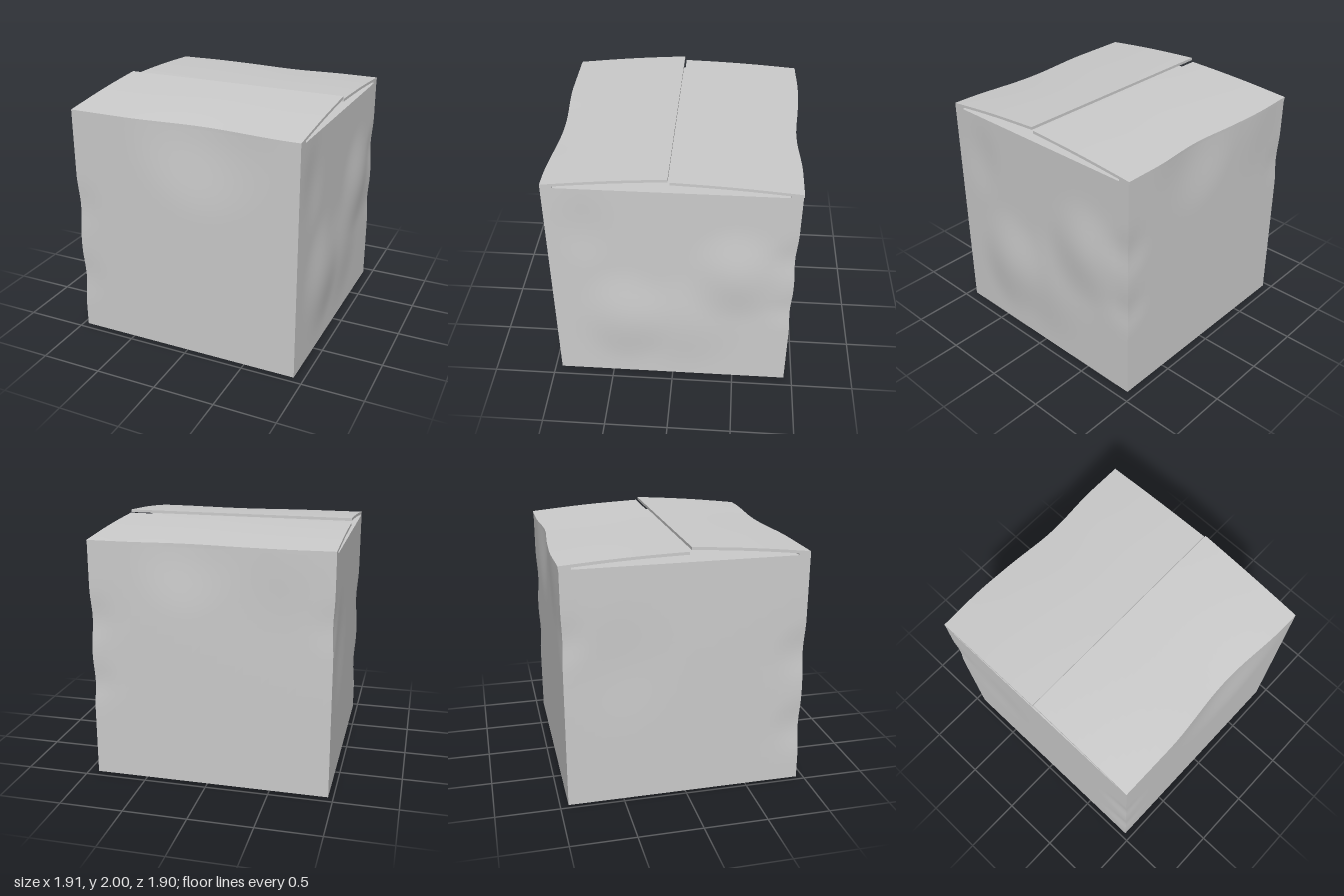
import * as THREE from 'three';

const X0 = -0.96, X1 = 0.92, ZF = 0.945, ZB = -0.935, LID = 1.885;
const mat = new THREE.MeshStandardMaterial({ color: 0xcccccc, side: THREE.DoubleSide });

// Soft dents and bulges: [centre x, y, z], [radius x, y, z], [push x, y, z]
const DENTS = [
  // bulges on the +x wall
  [[X1, 1.12, -0.48], [0.5, 0.5, 0.42], [0.034, 0, 0]],
  [[X1, 0.62, 0.38], [0.5, 0.55, 0.42], [0.033, 0, 0]],
  [[X1, 0.6, -0.1], [0.5, 0.55, 0.5], [0.018, 0, 0]],
  [[X1, 1.5, 0.66], [0.4, 0.4, 0.26], [-0.01, 0, 0]],
  // shallow dents in the -x wall
  [[X0, 1.1, -0.5], [0.5, 0.5, 0.4], [0.008, 0, 0]],
  // crushed corners
  [[X0, 1.1, ZF], [0.25, 0.28, 0.3], [0.015, 0, -0.008]],
  [[X0, 0.47, ZF], [0.25, 0.28, 0.3], [0.015, 0, -0.008]],
  [[X1, 1.3, ZB], [0.25, 0.25, 0.25], [-0.012, 0, 0.012]],
  [[X1, 0.78, ZB], [0.25, 0.22, 0.25], [-0.01, 0, 0.01]],
  [[X0, 1.35, ZB], [0.25, 0.25, 0.25], [0.01, 0, 0.008]],
  // top edges pressed in at the middle, front and back
  [[0.16, 1.92, ZF], [0.68, 0.75, 0.3], [0, 0, -0.043]],
  [[0.16, 1.92, ZB], [0.5, 0.6, 0.3], [0, 0, 0.03]],
  [[-0.6, 1.92, ZB], [0.4, 0.6, 0.3], [0, 0, -0.012]],
];

// Adds every dent to a point, fading smoothly to zero at its radius
function crumple(v) {
  const p = v.clone();
  for (const [c, r, push] of DENTS) {
    const d = Math.hypot((p.x - c[0]) / r[0], (p.y - c[1]) / r[1], (p.z - c[2]) / r[2]);
    if (d >= 1) continue;
    const k = 0.5 + 0.5 * Math.cos(Math.PI * d);
    v.x += push[0] * k;
    v.y += push[1] * k;
    v.z += push[2] * k;
  }
  return v;
}

// Moves each vertex of a geometry by a rule
function warp(geo, rule) {
  const pos = geo.attributes.position, v = new THREE.Vector3();
  for (let i = 0; i < pos.count; i++) {
    rule(v.fromBufferAttribute(pos, i));
    pos.setXYZ(i, v.x, v.y, v.z);
  }
  geo.computeVertexNormals();
  return geo;
}

function add(group, name, geo) {
  const mesh = new THREE.Mesh(geo, mat);
  mesh.name = name;
  group.add(mesh);
}

// Outer flap: a thin board from its fold (t = 0) to its free edge (t = 1)
function flap(foldZ, foldY, freeZ, freeY, thick, twist) {
  return warp(new THREE.BoxGeometry(1, 1, 1, 28, 1, 10), v => {
    const s = v.x + 0.5, top = v.y > 0;
    const t = foldZ > 0 ? 0.5 - v.z : v.z + 0.5;
    const x = THREE.MathUtils.lerp(X0, X1, s);
    const z = THREE.MathUtils.lerp(foldZ, freeZ, t);
    const edge = crumple(new THREE.Vector3(x, 1.91, foldZ));
    const sag = 0.008 * Math.sin(Math.PI * t);
    const y = THREE.MathUtils.lerp(foldY, freeY, t) + sag + twist * (s - 1) * t;
    v.set(x, top ? y : y - thick, z + (edge.z - foldZ) * (1 - t));
  });
}

export function createModel() {
  const box = new THREE.Group();
  box.name = 'cardboardBox';

  // Carton body, closed at the top by the flat inner flaps
  const body = new THREE.BoxGeometry(X1 - X0, LID, ZF - ZB, 28, 28, 28);
  body.translate((X0 + X1) / 2, LID / 2, (ZF + ZB) / 2);
  add(box, 'body', warp(body, crumple));

  // Outer flaps, slightly sprung open and not quite meeting
  add(box, 'frontFlap', flap(ZF, 1.91, 0.025, 2.0, 0.022, 0.004));
  add(box, 'backFlap', flap(ZB - 0.005, 1.915, 0.012, 1.975, 0.022, 0.013));

  // Low strips that carry the walls up to the folds
  for (const [name, z, dir] of [['frontFold', ZF, -1], ['backFold', ZB, 1]]) {
    const strip = new THREE.BoxGeometry(X1 - X0, 0.025, 0.09, 28, 1, 1);
    strip.translate((X0 + X1) / 2, LID + 0.0125, z + dir * 0.045);
    add(box, name, warp(strip, crumple));
  }
  return box;
}
